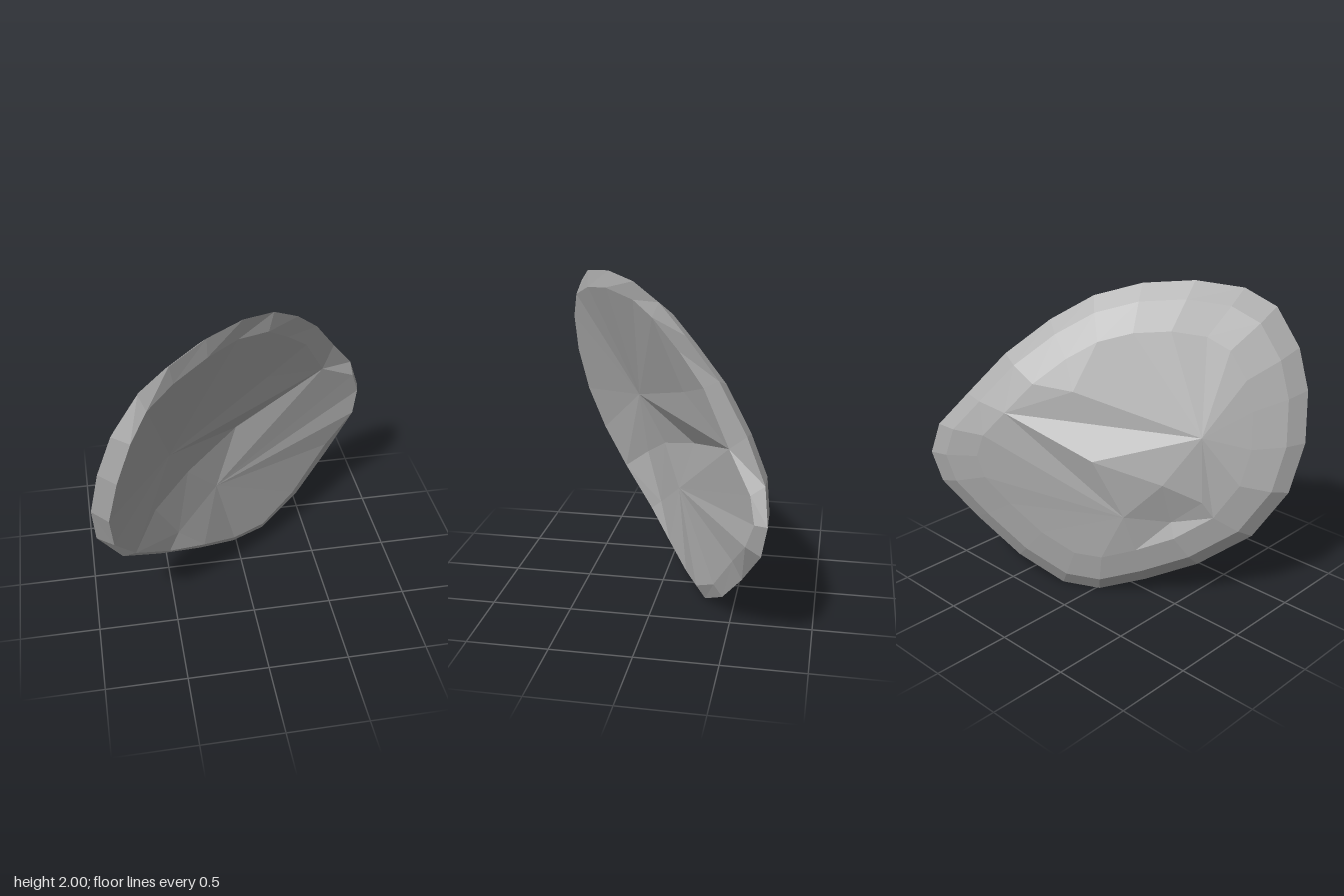
import * as THREE from 'three';

// Rim edge, clockwise seen from the front
const EDGE = [
  [-0.26, 2, 0.4], [-0.02, 1.98, 0.19], [0.2, 1.9, -0.01], [0.39, 1.75, -0.2], [0.57, 1.54, -0.42],
  [0.74, 1.28, -0.6], [0.9, 1.06, -0.72], [0.97, 0.85, -0.745], [0.92, 0.65, -0.71], [0.73, 0.41, -0.59],
  [0.48, 0.16, -0.45], [0.21, 0, -0.31], [-0.02, 0, -0.2], [-0.28, 0.11, -0.04], [-0.56, 0.26, 0.14],
  [-0.81, 0.47, 0.36], [-0.96, 0.77, 0.51], [-0.975, 1.07, 0.63], [-0.92, 1.38, 0.7], [-0.83, 1.63, 0.71],
  [-0.67, 1.86, 0.68], [-0.49, 1.96, 0.59],
];
// Lip of the hollow, matching the edge point for point
const LIP = [
  [-0.26, 1.89, 0.42], [-0.05, 1.86, 0.2], [0.16, 1.8, 0.04], [0.32, 1.64, -0.15], [0.48, 1.47, -0.32],
  [0.64, 1.17, -0.49], [0.9, 1.0, -0.64], [0.95, 0.85, -0.67], [0.91, 0.7, -0.62], [0.7, 0.51, -0.53],
  [0.44, 0.22, -0.39], [0.2, 0.08, -0.25], [-0.02, 0.07, -0.15], [-0.25, 0.17, 0], [-0.5, 0.3, 0.17],
  [-0.73, 0.52, 0.4], [-0.86, 0.76, 0.58], [-0.88, 1.04, 0.7], [-0.82, 1.34, 0.755], [-0.73, 1.6, 0.755],
  [-0.63, 1.77, 0.71], [-0.47, 1.85, 0.59],
];
// Facet corners inside the hollow
const HOLLOW = {
  a: [-0.48, 1.13, 0.25], c: [-0.15, 0.6, -0.08], d: [0, 0.97, -0.2],
  e: [-0.35, 0.84, 0.05], g: [-0.58, 0.69, 0.21], h: [0.2, 1.36, -0.16], j: [-0.43, 0.38, 0.09],
};
// Facet fans: a hub and its neighbours in order (numbers are ring points)
const FANS = {
  a: ['g', 15, 16, 17, 18, 19, 20, 21, 0, 1, 2, 'h', 5, 'd', 'e', 'g'],
  h: [2, 3, 4, 5],
  c: [13, 'j', 'e', 'd', 5, 6, 7, 8, 9, 10, 11, 12, 13],
  j: [13, 14, 15, 'g', 'e'],
};
const BACK = [-0.59, 0.1, -0.79];

const shift = (p, t) => p.map((v, k) => v + BACK[k] * t);

// Ring drawn in towards the middle and pushed backwards
function innerRing(pull, depth) {
  const middle = [0, 1, 0];
  return EDGE.map((p) => shift(p.map((v, k) => v + (middle[k] - v) * pull), depth));
}

function band(a, b) {
  const out = [];
  a.forEach((p, i) => {
    const n = (i + 1) % a.length;
    out.push(p, a[n], b[n], p, b[n], b[i]);
  });
  return out;
}

function facets(ring, inside, front) {
  const at = (k) => (typeof k === 'number' ? ring[k] : inside[k]);
  const out = [];
  for (const [hub, list] of Object.entries(FANS)) {
    for (let i = 0; i < list.length - 1; i++) {
      const p = at(list[i]), q = at(list[i + 1]);
      out.push(at(hub), ...(front ? [q, p] : [p, q]));
    }
  }
  return out;
}

export function createModel() {
  const group = new THREE.Group();
  group.name = 'curvedShard';
  const grey = new THREE.MeshStandardMaterial({ color: 0xacacac, flatShading: true });
  grey.name = 'stone grey';

  const add = (name, points) => {
    const geometry = new THREE.BufferGeometry();
    geometry.setAttribute('position', new THREE.Float32BufferAttribute(points.flat(), 3));
    geometry.computeVertexNormals();
    const mesh = new THREE.Mesh(geometry, grey);
    mesh.name = name;
    group.add(mesh);
  };

  const shoulder = innerRing(0.1, 0.09);
  const dome = innerRing(0.28, 0.16);
  const bulge = {};
  for (const [key, p] of Object.entries(HOLLOW)) bulge[key] = shift(p, 0.18);
  bulge.g = [-0.63, 0.74, 0.08];
  bulge.j = [-0.46, 0.58, -0.01];

  add('hollow', facets(LIP, HOLLOW, true));
  add('rim', [...band(LIP, EDGE), ...band(EDGE, shoulder)]);
  add('outerShell', [...band(shoulder, dome), ...facets(dome, bulge, false)]);
  return group;
}
